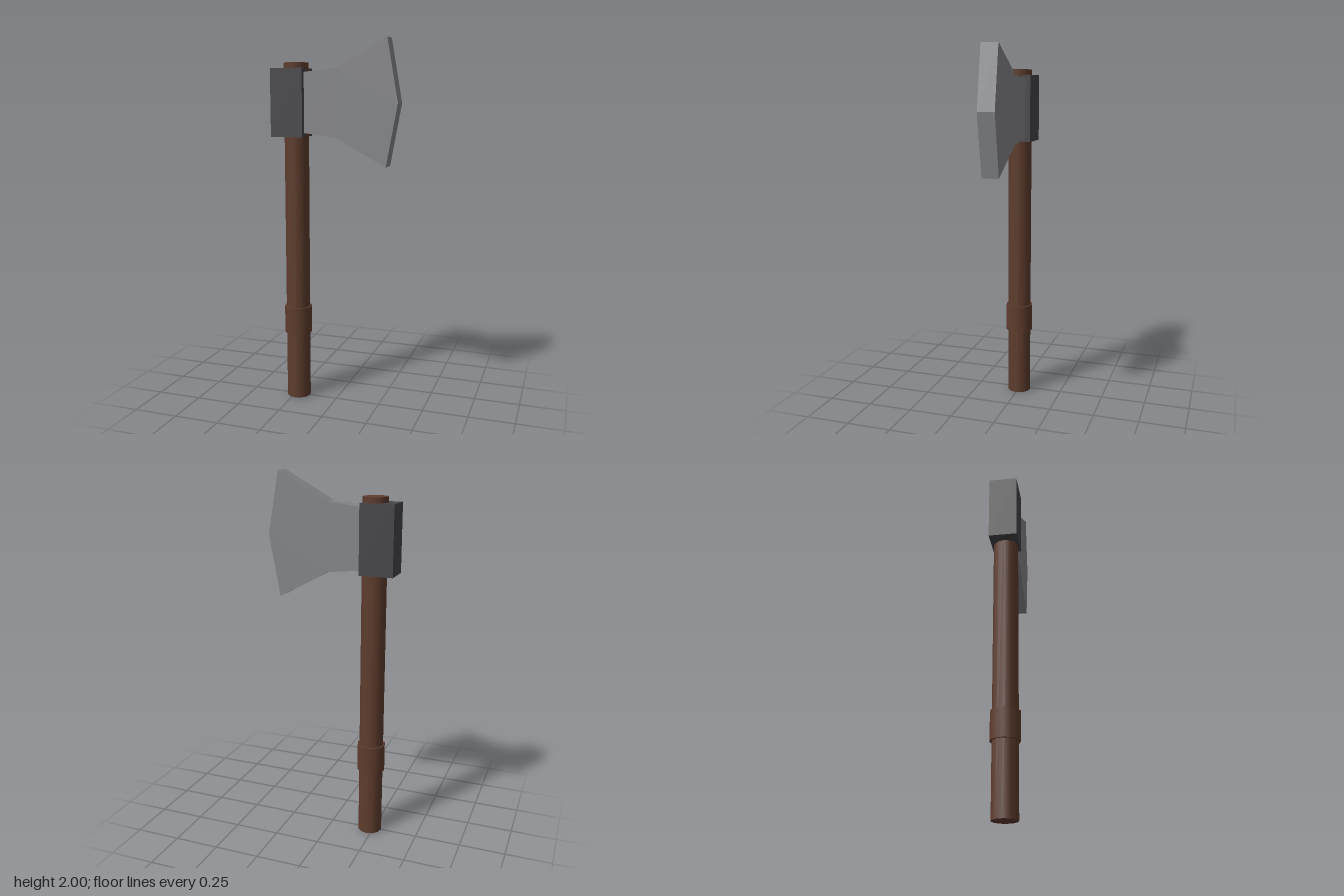
import * as THREE from 'three';

export function createModel() {
  const model = new THREE.Group();
  const material = (name, color) => {
    const m = new THREE.MeshStandardMaterial({ color });
    m.name = name;
    return m;
  };
  const wood = material('brown wood', 0x5e3c2d);
  const iron = material('dark iron', 0x454549);
  const steel = material('grey steel', 0x858689);

  const add = (name, geometry, mat, x, y, z) => {
    const mesh = new THREE.Mesh(geometry, mat);
    mesh.name = name;
    mesh.position.set(x, y, z);
    model.add(mesh);
  };

  // Handle and grip ring share one axis
  const axisX = -0.228;
  const rod = (name, radius, bottom, top) =>
    add(name, new THREE.CylinderGeometry(radius, radius, top - bottom, 12), wood, axisX, (bottom + top) / 2, 0);
  rod('handle', 0.067, 0, 1.88);
  rod('gripRing', 0.077, 0.38, 0.533);

  // Iron socket around the top of the handle
  add('socket', new THREE.BoxGeometry(0.181, 0.363, 0.151), iron, -0.258, 1.669, 0);

  // Flared blade, mirrored about its horizontal centre line
  const upper = [[-0.19, 0.158], [0.012, 0.181], [0.286, 0.331]];
  const lower = upper.map(([x, y]) => [x, -y]).reverse();
  const outline = [...upper, [0.346, 0], ...lower].map(([x, y]) => new THREE.Vector2(x, y));
  const thickness = 0.092;
  const blade = new THREE.ExtrudeGeometry(new THREE.Shape(outline), { depth: thickness, bevelEnabled: false });
  add('blade', blade, steel, 0, 1.669, -thickness / 2);

  return model;
}
